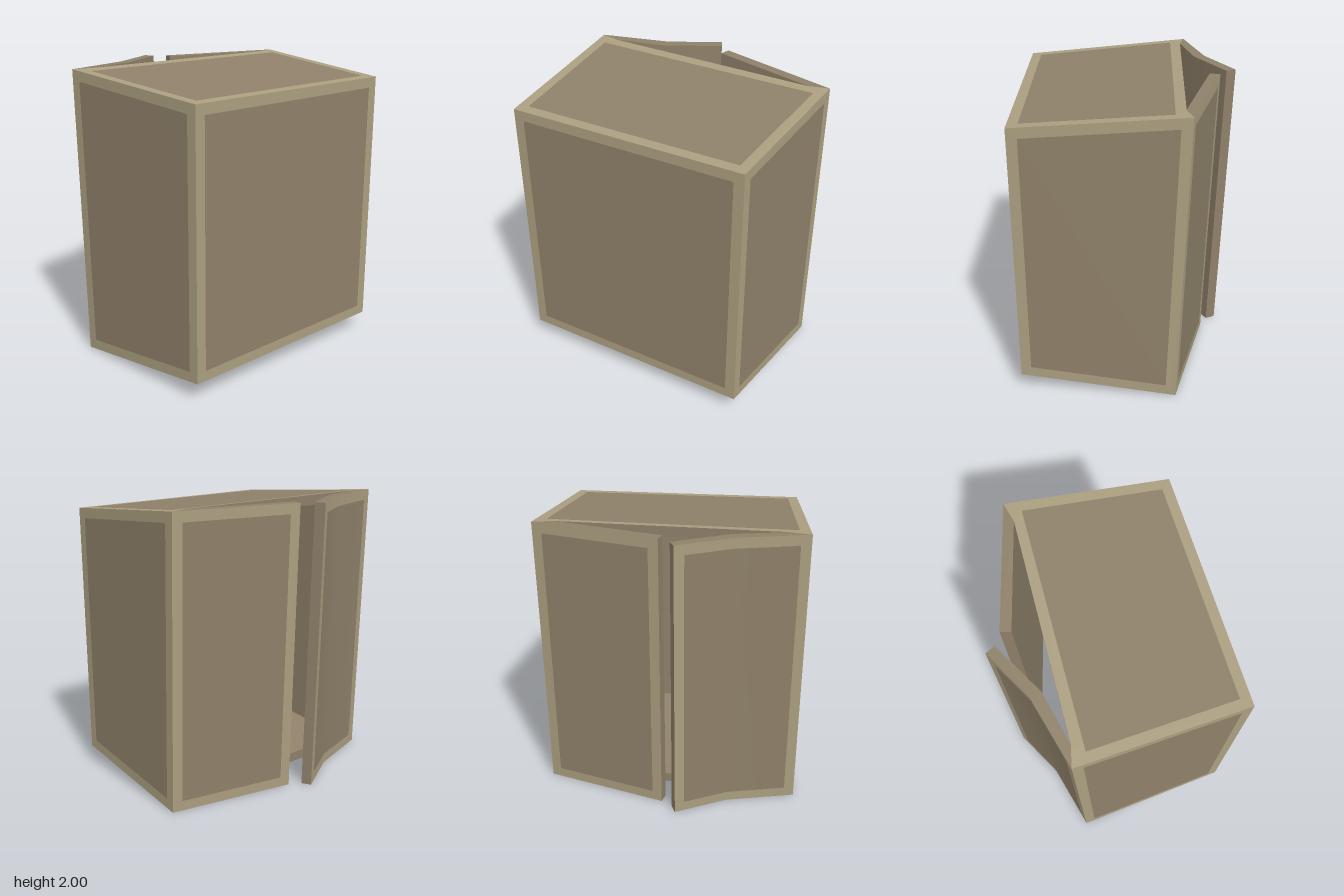
import * as THREE from 'three';

const INSET = 0.07, TOP = 2;
const panelMat = new THREE.MeshStandardMaterial({ color: 0x8f816a });
const borderMat = new THREE.MeshStandardMaterial({ color: 0xab9f80 });

const v = (x, y, z) => new THREE.Vector3(x, y, z);
// the back leans: z moves forward towards the bottom
const lean = ([x, z], y) => v(x, y, z + 0.03 * (TOP - y));
const row = (plan, y) => plan.map((p) => lean(p, y));
const toward = (a, b, d) => a.clone().addScaledVector(b.clone().sub(a).normalize(), d);

// Surface between an upper and a lower row, both left to right as seen from outside
function strip(name, a, b, material) {
  const n = a.length, index = [];
  for (let i = 0; i < n - 1; i++) index.push(i, n + i, n + i + 1, i, n + i + 1, i + 1);
  const geometry = new THREE.BufferGeometry().setFromPoints([...a, ...b]);
  geometry.setIndex(index);
  geometry.computeVertexNormals();
  const mesh = new THREE.Mesh(geometry, material);
  mesh.name = name;
  return mesh;
}

// Shrink two rows towards the middle of their face
function insetRows(a, b, dA = INSET, dB = INSET) {
  const ends = (r) => {
    const k = r.length - 1, out = r.map((p) => p.clone());
    out[0] = toward(r[0], r[1], INSET);
    out[k] = toward(r[k], r[k - 1], INSET);
    return out;
  };
  const ea = ends(a), eb = ends(b);
  return [ea.map((p, i) => toward(p, eb[i], dA)), eb.map((p, i) => toward(p, ea[i], dB))];
}

// Brown panel inside a lighter border
function framedFace(name, a, b, [ia, ib] = insetRows(a, b)) {
  const face = new THREE.Group();
  face.name = name;
  const outer = [...a, ...b.slice().reverse(), a[0]];
  const inner = [...ia, ...ib.slice().reverse(), ia[0]];
  face.add(strip(name + 'Panel', ia, ib, panelMat), strip(name + 'Border', outer, inner, borderMat));
  return face;
}

// Door from its plan outlines, both listed with x ascending
function makeDoor(name, outer, inner, freeEnd) {
  const door = new THREE.Group();
  door.name = name;
  const [oT, oB, iT, iB] = [row(outer, TOP), row(outer, 0), row(inner, TOP), row(inner, 0)];
  door.add(
    framedFace(name + 'Outside', oT.slice().reverse(), oB.slice().reverse()),
    strip(name + 'Inside', iT, iB, panelMat),
    strip(name + 'TopEdge', oT, iT, panelMat),
    strip(name + 'BottomEdge', iB, oB, panelMat));
  const k = freeEnd === 'start' ? 0 : outer.length - 1;
  const top = [oT[k], iT[k]], bottom = [oB[k], iB[k]];
  if (k) { top.reverse(); bottom.reverse(); }
  door.add(strip(name + 'FreeEdge', top, bottom, panelMat));
  return door;
}

export function createModel() {
  const model = new THREE.Group();
  model.name = 'openBox';

  // plan points of the back corners and of the opening's edge
  const backL = [-0.9, -0.43], backR = [0.9, -0.38], rimL = [-0.76, -0.395], rimR = [0.76, -0.345];
  const frontT = [v(-0.82, 1.91, 0.73), v(0.83, 1.91, 0.73)];
  const frontB = [v(-0.82, 0.125, 0.73), v(0.83, 0.125, 0.73)];
  const backT = row([backL, backR], TOP), backB = row([backL, backR], 0);

  // outer shell
  const body = new THREE.Group();
  body.name = 'body';
  const twice = (r) => [r[0], r[0], r[1], r[1]];
  const edge = [backL, rimL, rimR, backR];
  body.add(
    framedFace('frontWall', frontT, frontB),
    framedFace('leftWall', [frontT[1], backT[1]], [frontB[1], backB[1]]),
    framedFace('rightWall', [backT[0], frontT[0]], [backB[0], frontB[0]]),
    framedFace('topWall', row(edge, TOP), twice(frontT),
      insetRows(backT, frontT, 0.105, INSET).map(twice)),
    framedFace('bottomWall', twice(frontB), row(edge, 0),
      insetRows(frontB, backB, INSET, 0.105).map(twice)));

  // hollow interior and the rim around its opening
  const rim = [rimL, rimR];
  const openT = row(rim, TOP - INSET), openB = row(rim, INSET);
  const deepT = [v(-0.75, 1.84, 0.66), v(0.77, 1.84, 0.66)];
  const deepB = [v(-0.75, 0.2, 0.66), v(0.77, 0.2, 0.66)];
  const flip = (r) => r.slice().reverse();
  body.add(
    strip('innerFront', flip(deepT), flip(deepB), panelMat),
    strip('innerLeft', [openT[1], deepT[1]], [openB[1], deepB[1]], panelMat),
    strip('innerRight', [deepT[0], openT[0]], [deepB[0], openB[0]], panelMat),
    strip('innerTop', deepT, openT, panelMat),
    strip('innerBottom', openB, deepB, panelMat),
    strip('topRim', flip(row(rim, TOP)), flip(openT), panelMat),
    strip('bottomRim', flip(openB), flip(row(rim, 0)), panelMat));
  model.add(body);

  // straight door and bent door, both ajar
  model.add(
    makeDoor('leftDoor', [[0.04, -0.62], backR], [[0.02, -0.55], rimR], 'start'),
    makeDoor('rightDoor', [backL, [-0.42, -0.55], [-0.07, -0.735]],
      [rimL, [-0.4, -0.475], [-0.04, -0.67]], 'end'));
  return model;
}
